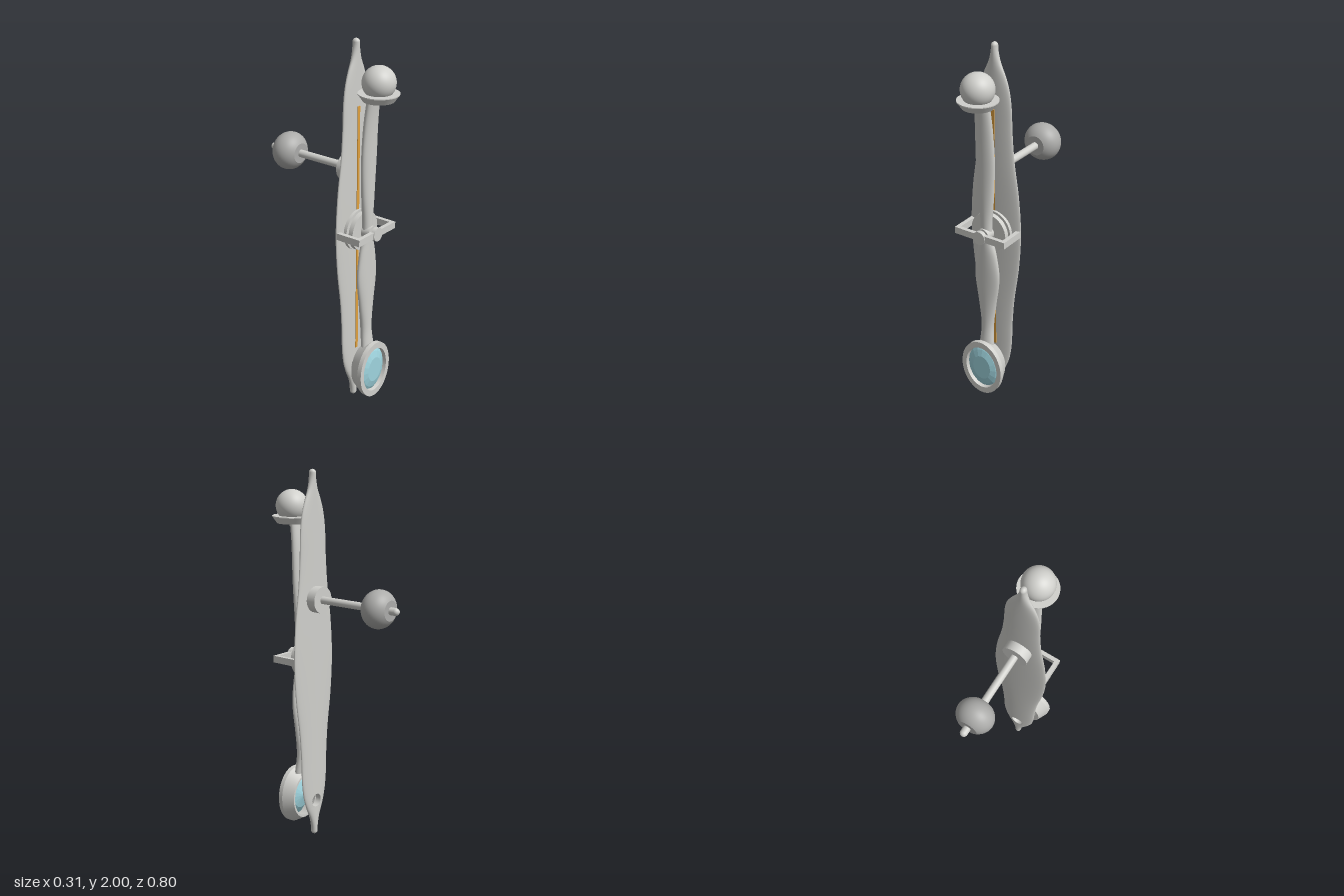
import * as THREE from 'three';
import { mergeVertices } from 'three/addons/utils/BufferGeometryUtils.js';

const metal = new THREE.MeshStandardMaterial({ color: 0xd0d0cc, side: THREE.DoubleSide });
metal.name = 'paleMetal';
const darkMetal = new THREE.MeshStandardMaterial({ color: 0xacacaa });
darkMetal.name = 'darkMetal';
const glass = new THREE.MeshStandardMaterial({ color: 0x9fd4de, side: THREE.DoubleSide });
glass.name = 'blueGem';
const amber = new THREE.MeshStandardMaterial({ color: 0xe0a03c, side: THREE.DoubleSide });
amber.name = 'amberStrip';

// Smooth lookup in a table of [y, value] rows
function lookup(table, y) {
  const n = table.length;
  let i = 0;
  while (i < n - 2 && y > table[i + 1][0]) i++;
  const [a, b] = [table[i], table[i + 1]];
  const slope = (k) => {
    const p = table[Math.max(k - 1, 0)], q = table[Math.min(k + 1, n - 1)];
    return (q[1] - p[1]) / (q[0] - p[0]);
  };
  const d = b[0] - a[0], t = (y - a[0]) / d, t2 = t * t, t3 = t2 * t;
  return (2 * t3 - 3 * t2 + 1) * a[1] + (t3 - 2 * t2 + t) * d * slope(i)
    + (3 * t2 - 2 * t3) * b[1] + (t3 - t2) * d * slope(i + 1);
}

// Elliptical loft in two mirrored halves; section(y) gives { w, t, z, gap }
function loft(ys, section) {
  const pos = [], idx = [], N = 14;
  for (const side of [1, -1]) {
    const base = pos.length / 3;
    for (const y of ys) {
      const { w, t, z, gap = 0 } = section(y);
      const a0 = Math.acos(Math.min(1, gap / Math.max(w, 1e-5)));
      for (let j = 0; j <= N; j++) {
        const a = a0 * (1 - (2 * j) / N);
        pos.push(side * w * Math.cos(a), y, z + t * Math.sin(a));
      }
    }
    for (let i = 0; i < ys.length - 1; i++) for (let j = 0; j < N; j++) {
      const p = base + i * (N + 1) + j, q = p + N + 1;
      if (side > 0) idx.push(p, p + 1, q, p + 1, q + 1, q);
      else idx.push(p, q, p + 1, p + 1, q, q + 1);
    }
  }
  const g = new THREE.BufferGeometry();
  g.setAttribute('position', new THREE.Float32BufferAttribute(pos, 3));
  g.setIndex(idx);
  const merged = mergeVertices(g, 1e-5);
  merged.computeVertexNormals();
  return merged;
}

// Lathe along z: points are [radius, z]; each segment keeps crisp edges
function turned(points, segs = 48) {
  const g = new THREE.LatheGeometry(points.map(([r, z]) => new THREE.Vector2(r, z)), segs);
  return g.rotateX(Math.PI / 2);
}

export function createModel() {
  const model = new THREE.Group();
  const add = (name, geo, mat, x = 0, y = 0, z = 0, parent = model) => {
    const m = new THREE.Mesh(geo, mat);
    m.name = name;
    m.position.set(x, y, z);
    parent.add(m);
    return m;
  };
  // Disc or rod along z between two depths
  const rod = (name, r, z0, z1, y, parent = model) =>
    add(name, new THREE.CylinderGeometry(r, r, z1 - z0, 40).rotateX(Math.PI / 2), metal, 0, y, (z0 + z1) / 2, parent);

  // Long spindle-shaped back plate with a round hole near the bottom
  const outline = [[0, 0.017], [0.04, 0.018], [0.1, 0.034], [0.16, 0.062], [0.23, 0.085], [0.32, 0.098],
    [0.45, 0.103], [0.6, 0.115], [0.8, 0.143], [1, 0.155], [1.2, 0.143], [1.4, 0.115], [1.55, 0.103],
    [1.68, 0.098], [1.77, 0.085], [1.84, 0.062], [1.9, 0.034], [1.96, 0.018], [2, 0.017]];
  const holeY = 0.2, holeR = 0.036, tip = 0.018;
  const ys = [];
  for (let i = 0; i <= 6; i++) ys.push(tip * (1 - Math.cos((i / 6) * Math.PI / 2)));
  for (let y = 0.03; y < 1.975; y += 0.02) if (Math.abs(y - holeY) > holeR + 0.003) ys.push(y);
  for (let i = 0; i <= 16; i++) ys.push(holeY - holeR * Math.cos((i / 16) * Math.PI));
  for (let i = 0; i <= 6; i++) ys.push(2 - tip * (1 - Math.cos((i / 6) * Math.PI / 2)));
  ys.sort((a, b) => a - b);
  add('backPlate', loft(ys, (y) => {
    const d = Math.min(y, 2 - y);
    const cap = d < tip ? Math.sqrt(Math.max(0, 1 - ((tip - d) / tip) ** 2)) : 1;
    const gap = Math.sqrt(Math.max(0, holeR ** 2 - (y - holeY) ** 2));
    return { w: lookup(outline, y) * cap, t: 0.019 * cap, z: 0.157, gap };
  }), metal);
  add('plateHole', new THREE.CylinderGeometry(holeR, holeR, 0.034, 32, 1, true).rotateX(Math.PI / 2), metal, 0, holeY, 0.157);
  add('amberStrip', new THREE.BoxGeometry(0.018, 1.36, 0.004), amber, 0, 0.98, 0.177);

  // Slim front arm, pinched at the pivot and curving forward at the top
  const armW = [[0.34, 0.042], [0.45, 0.036], [0.58, 0.052], [0.75, 0.075], [0.88, 0.06], [0.98, 0.034],
    [1.06, 0.032], [1.2, 0.044], [1.4, 0.055], [1.55, 0.052], [1.72, 0.043]];
  const armZ = [[0.34, 0.25], [0.45, 0.239], [0.7, 0.238], [1, 0.24], [1.3, 0.241], [1.5, 0.247], [1.62, 0.255], [1.72, 0.267]];
  const armYs = Array.from({ length: 61 }, (_, i) => 0.34 + (1.38 * i) / 60);
  add('frontArm', loft(armYs, (y) => ({ w: lookup(armW, y), t: 0.026, z: lookup(armZ, y) })), metal);

  // Ball resting in a shallow cup
  add('topBall', new THREE.SphereGeometry(0.085, 40, 28), metal, 0, 1.803, 0.298);
  add('ballCup', new THREE.CylinderGeometry(0.104, 0.08, 0.036, 48), metal, 0, 1.731, 0.298);
  add('cupRim', new THREE.CylinderGeometry(0.104, 0.104, 0.005, 48), metal, 0, 1.749, 0.298);
  add('cupPeg', new THREE.CylinderGeometry(0.015, 0.015, 0.03, 24), metal, 0, 1.71, 0.298);

  // Oval bezel, open at the back, holding a faceted gem
  const setting = new THREE.Group();
  setting.name = 'gemSetting';
  setting.position.set(0, 0.207, 0);
  setting.scale.set(1, 1.26, 1);
  model.add(setting);
  const walls = [[[0.098, 0.219], [0.126, 0.28]], [[0.126, 0.28], [0.126, 0.304]],
    [[0.126, 0.304], [0.099, 0.304]], [[0.099, 0.304], [0.088, 0.219]], [[0.088, 0.219], [0.098, 0.219]]];
  walls.forEach((w, i) => {
    const flipped = w.map(([r, z]) => [r, z]);
    add('bezelWall' + (i + 1), turned(flipped), metal, 0, 0, 0, setting);
  });
  const gem = turned([[0, 0.228], [0.06, 0.25], [0.098, 0.283], [0.085, 0.292], [0.056, 0.302], [0, 0.302]], 16).toNonIndexed();
  gem.computeVertexNormals();
  add('gem', gem, glass, 0, 0, 0, setting);

  // Pivot discs and the square bracket around the arm
  rod('pivotBackDisc', 0.11, 0.172, 0.19, 1.0);
  rod('pivotSpindle', 0.06, 0.18, 0.21, 1.0);
  rod('pivotFrontDisc', 0.105, 0.2, 0.225, 1.0);
  rod('pivotBoss', 0.036, 0.22, 0.275, 1.003);
  rod('bracketBolt', 0.036, 0.287, 0.31, 1.003);
  add('bracketFront', new THREE.BoxGeometry(0.306, 0.036, 0.022), metal, 0, 1.004, 0.294);
  for (const s of [1, -1]) {
    add(s > 0 ? 'bracketLeft' : 'bracketRight', new THREE.BoxGeometry(0.023, 0.036, 0.14), metal, s * 0.1415, 1.004, 0.225);
  }

  // Rear post with collar, rounded end and a flattened bead
  const postY = 1.325;
  rod('postCollar', 0.07, 0.09, 0.148, postY);
  rod('post', 0.02, -0.38, 0.1, postY);
  add('postEnd', new THREE.SphereGeometry(0.02, 24, 16), metal, 0, postY, -0.38);
  const bead = [];
  for (let i = 0; i <= 24; i++) {
    const a = -1.02 + (2.04 * i) / 24;
    bead.push([0.101 * Math.cos(a), 0.087 * Math.sin(a)]);
  }
  add('bead', turned(bead), darkMetal, 0, postY, -0.275);
  for (const s of [1, -1]) {
    const cap = new THREE.CircleGeometry(0.053, 40);
    if (s < 0) cap.rotateY(Math.PI);
    add(s > 0 ? 'beadFrontCap' : 'beadBackCap', cap, darkMetal, 0, postY, -0.275 + s * 0.0741);
  }
  return model;
}
